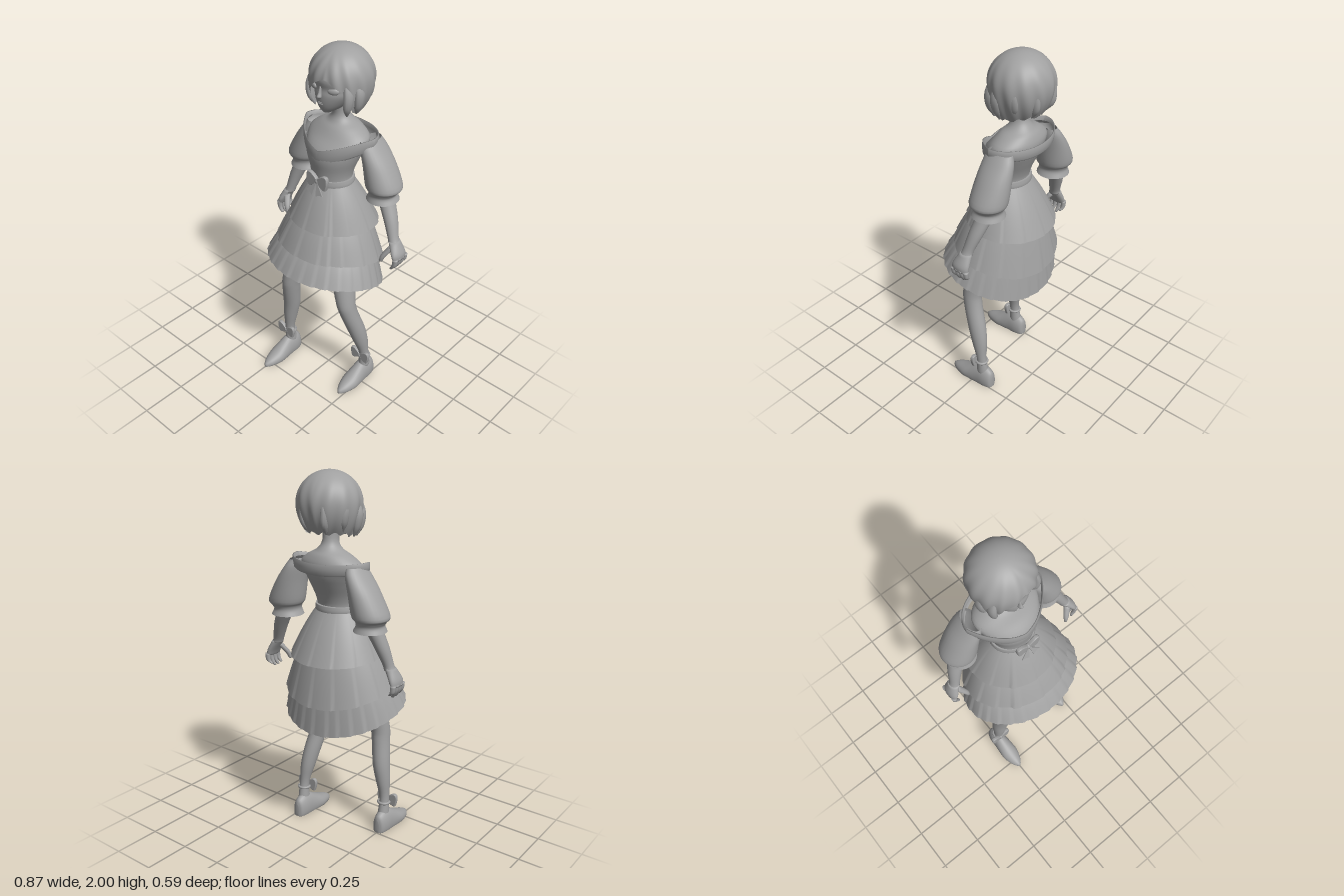
import * as THREE from 'three';

const clay = new THREE.MeshStandardMaterial({ color: 0xa0a0a0, side: THREE.DoubleSide });
clay.name = 'soft grey';
const { clamp, lerp, smoothstep } = THREE.MathUtils;
const CX = -0.02; // the body leans a little to its right

function mesh(name, geometry, parent) {
  const m = new THREE.Mesh(geometry, clay);
  m.name = name;
  parent.add(m);
  return m;
}

// Closed band of points fn(angle, v); angle 0 faces +z, v runs upward from 0 to 1
function grid(fn, cols, rows) {
  const pos = [], idx = [];
  for (let i = 0; i <= rows; i++)
    for (let j = 0; j < cols; j++) pos.push(...fn((j / cols) * Math.PI * 2, i / rows));
  for (let i = 0; i < rows; i++)
    for (let j = 0; j < cols; j++) {
      const k = (j + 1) % cols, a = i * cols, b = a + cols;
      idx.push(a + j, a + k, b + k, a + j, b + k, b + j);
    }
  const g = new THREE.BufferGeometry();
  g.setAttribute('position', new THREE.Float32BufferAttribute(pos, 3));
  g.setIndex(idx);
  g.computeVertexNormals();
  return g;
}

// Smooth solid through rings [x, y, z, rx, rz], listed from the bottom up
function loft(rings, cols = 24, capped = true) {
  const centre = new THREE.CatmullRomCurve3(rings.map(r => new THREE.Vector3(r[0], r[1], r[2])), false, 'catmullrom');
  const size = new THREE.CatmullRomCurve3(rings.map(r => new THREE.Vector3(r[3], r[4], 0)), false, 'catmullrom');
  const rows = rings.length * 4;
  return grid((a, v) => {
    const i = Math.round(v * rows), t = clamp((i - 1) / (rows - 2), 0, 1);
    const c = centre.getPoint(t), s = size.getPoint(t);
    const k = capped && (i === 0 || i === rows) ? 0 : 1;
    return [c.x + Math.sin(a) * s.x * k, c.y, c.z + Math.cos(a) * s.y * k];
  }, cols, rows);
}

// Ring given by its front and back depth
const fb = (y, rx, front, back, x = CX) => [x, y, (front + back) / 2, rx, (front - back) / 2];

// Flared skirt tier between two ovals { y, yBack, rx, front, back }
function tier(top, hem, pleats, depth, panel) {
  return grid((a, v) => {
    const w = 1 - v, t = (1 - Math.cos(a)) / 2;
    const rx = lerp(top.rx, hem.rx, w);
    const f = lerp(top.front, hem.front, w), b = lerp(top.back, hem.back, w);
    const ang = Math.min(a, Math.PI * 2 - a);
    // overlapping front panel, and knife pleats opening toward the hem
    const pleat = ((a * pleats) / (Math.PI * 2)) % 1 - 0.5;
    const k = 1 + w * depth * 2 * pleat + (ang < 0.62 ? panel * w : 0);
    const y = lerp(top.y, lerp(hem.y, hem.yBack, t ** 1.8), w) + 0.015 * Math.sin(w * Math.PI);
    return [CX + Math.sin(a) * rx * k, y, (f + b) / 2 + Math.cos(a) * ((f - b) / 2) * k];
  }, 168, 8);
}

// Bow with two wings, a knot and optional tails
function bow(name, size, tails) {
  const g = new THREE.Group();
  g.name = name;
  const wing = new THREE.Shape();
  wing.moveTo(0, 0.12);
  wing.bezierCurveTo(0.35, 0.45, 0.7, 0.75, 0.95, 0.55);
  wing.bezierCurveTo(1.1, 0.3, 0.95, -0.2, 0.85, -0.5);
  wing.bezierCurveTo(0.6, -0.6, 0.3, -0.35, 0, -0.12);
  const tail = new THREE.Shape([[0, 0], [0.85, -0.95], [0.5, -1.0], [0.2, -1.2]].map(p => new THREE.Vector2(...p)));
  const puff = { depth: 0.1, bevelSize: 0.06, bevelThickness: 0.12, bevelSegments: 3, curveSegments: 8 };
  for (const s of [1, -1]) {
    const turn = s > 0 ? 0 : Math.PI;
    mesh('bowWing', new THREE.ExtrudeGeometry(wing, puff).translate(0, 0, -0.05).rotateY(turn), g);
    if (tails) mesh('bowTail', new THREE.ExtrudeGeometry(tail, { depth: 0.08, bevelEnabled: false })
      .translate(0, 0, -0.04).rotateY(turn).rotateX(-0.3).translate(0, 0, 0.1), g);
  }
  mesh('bowKnot', new THREE.SphereGeometry(0.24, 16, 12).scale(0.9, 1.1, 1), g);
  g.scale.setScalar(size);
  return g;
}

function buildHead(root) {
  const head = new THREE.Group();
  head.name = 'head';
  root.add(head);
  mesh('face', loft([
    fb(1.675, 0.022, 0.002, -0.06, -0.03), fb(1.7, 0.058, 0.02, -0.14, -0.028), fb(1.735, 0.088, 0.03, -0.18, -0.025),
    fb(1.775, 0.112, 0.032, -0.21), fb(1.81, 0.125, 0.028, -0.24), fb(1.86, 0.135, 0.034, -0.25), fb(1.93, 0.115, 0.005, -0.22)
  ], 40), head);
  mesh('nose', loft([
    [-0.03, 1.762, 0.028, 0.007, 0.008], [-0.03, 1.771, 0.033, 0.012, 0.019],
    [-0.03, 1.79, 0.029, 0.008, 0.014], [-0.03, 1.822, 0.024, 0.006, 0.008]
  ], 16), head);
  for (const y of [1.738, 1.73])
    mesh('lip', new THREE.SphereGeometry(0.017, 12, 8).scale(1, 0.25, 0.35).translate(-0.03, y, 0.027), head);
  for (const s of [-1, 1]) {
    mesh('eye', new THREE.SphereGeometry(0.03, 16, 10).scale(1, 0.6, 0.4).rotateY(s * 0.45).translate(-0.027 + s * 0.064, 1.807, 0.009), head);
    mesh('ear', new THREE.SphereGeometry(0.03, 12, 10).scale(0.4, 1, 0.7).translate(CX + s * 0.125, 1.785, -0.09), head);
    mesh('earring', new THREE.SphereGeometry(0.011, 10, 8).translate(CX + s * 0.126, 1.735, -0.06), head);
  }
  // bobbed hair with a side parting and locks swept toward the sides
  mesh('hair', grid((a, v) => {
    const w = 1 - v;
    const turn = Math.atan2(Math.sin(a - 0.15), Math.cos(a - 0.15));
    const off = Math.abs(turn);
    const wave = Math.cos(off * 13 - w * 5) * smoothstep(w, 0.15, 0.9);
    const hem = 1.868 - 0.08 * clamp(off / 0.74, 0, 1) ** 1.4 - 0.105 * smoothstep(off, 0.7, 1.0)
      + 0.02 * smoothstep(off, 1.4, 2.4) + 0.008 * Math.cos(off * 13) * smoothstep(off, 0.6, 1.2);
    const y = 2 - (2 - hem) * (1 - Math.cos(w * Math.PI / 2));
    const h = (y - 1.84) / 0.16;
    const round = h > 0 ? Math.sqrt(Math.max(0, 1 - h * h)) : 1 - lerp(0.24, 0.38, smoothstep(off, 1, 2.5)) * h * h;
    const r = round * (1 + 0.022 * wave);
    return [CX + 0.166 * r * Math.sin(a), y, -0.118 + 0.165 * r * Math.cos(a)];
  }, 144, 28), head);
  // loose locks framing the cheeks and layered over the back
  for (const [x, z, y0] of [[-0.125, -0.025, 1.675], [0.125, -0.025, 1.675], [-0.148, -0.08, 1.68], [0.148, -0.08, 1.68],
    [-0.135, -0.17, 1.71], [0.135, -0.17, 1.71], [-0.07, -0.24, 1.7], [0.06, -0.24, 1.7]])
    mesh('hairLock', loft([
      [CX + x * 0.84, y0, lerp(z, -0.1, 0.15), 0.004, 0.004], [CX + x * 0.95, y0 + 0.05, z, 0.018, 0.026],
      [CX + x, y0 + 0.12, z, 0.02, 0.03], [CX + x * 0.85, y0 + 0.2, z, 0.01, 0.012]
    ], 12), head);
}

function buildArm(root, s, side) {
  const arm = new THREE.Group();
  arm.name = side + 'Arm';
  root.add(arm);
  // mirrored about the body's offset at the shoulder and about x = 0 at the hand
  const fit = rings => rings.map(([x, y, ...r]) => [s * x - 0.018 * clamp((y - 1) / 0.25, 0, 1), y, ...r]);
  mesh('sleeve', loft(fit([
    [0.27, 1.232, -0.135, 0.086, 0.088], [0.27, 1.262, -0.135, 0.072, 0.078], [0.274, 1.285, -0.136, 0.08, 0.084],
    [0.272, 1.315, -0.138, 0.097, 0.099], [0.235, 1.42, -0.14, 0.077, 0.095], [0.198, 1.5, -0.138, 0.055, 0.086],
    [0.178, 1.545, -0.135, 0.04, 0.07]
  ]), 28, false), arm);
  mesh('forearm', loft(fit([
    [0.378, 1.035, -0.09, 0.03, 0.033], [0.366, 1.065, -0.095, 0.029, 0.031], [0.335, 1.15, -0.115, 0.038, 0.04],
    [0.29, 1.25, -0.135, 0.046, 0.046], [0.262, 1.33, -0.138, 0.05, 0.05]
  ])), arm);
  mesh('palm', loft(fit([
    [0.419, 0.955, -0.082, 0.018, 0.05], [0.408, 0.99, -0.082, 0.026, 0.05], [0.378, 1.045, -0.09, 0.029, 0.033]
  ])), arm);
  [-0.124, -0.097, -0.07, -0.043].forEach((z, i) => {
    const tip = [0.91, 0.893, 0.893, 0.9][i];
    mesh('finger', loft(fit([
      [0.4, tip, z * 0.95, 0.008, 0.008], [0.418, 0.928, z, 0.013, 0.013], [0.423, 0.965, z, 0.015, 0.014]
    ]), 10), arm);
  });
  mesh('thumb', loft(fit([
    [0.342, 0.93, -0.025, 0.009, 0.009], [0.352, 0.965, -0.035, 0.015, 0.015], [0.385, 1.02, -0.07, 0.02, 0.02]
  ]), 10), arm);
}

function buildLeg(root, side, rings, footX, heelZ, ankleZ) {
  const leg = new THREE.Group();
  leg.name = side + 'Leg';
  root.add(leg);
  mesh('leg', loft(rings), leg);
  // pointed shoe [distance from heel, half width, height], flattened at the sole
  const shoe = [[0, 0.012, 0.07], [0.012, 0.032, 0.1], [0.05, 0.043, 0.12], [0.1, 0.045, 0.115], [0.15, 0.049, 0.09],
    [0.2, 0.05, 0.065], [0.255, 0.034, 0.042], [0.285, 0.016, 0.025], [0.295, 0.005, 0.015]];
  const g = loft(shoe.map(([d, w, h]) => [footX, heelZ + d, -h * 0.3, w, h * 0.7]), 32).rotateX(Math.PI / 2);
  const p = g.attributes.position;
  for (let i = 0; i < p.count; i++) p.setY(i, Math.max(p.getY(i), 0));
  g.computeVertexNormals();
  mesh('shoe', g, leg);
  const x = rings[1][0];
  mesh('ankleStrap', new THREE.TorusGeometry(0.031, 0.008, 8, 28).rotateX(Math.PI / 2).translate(x, 0.165, ankleZ - 0.003), leg);
  const b = bow('ankleBow', 0.06, false);
  b.position.set(x - 0.006, 0.175, ankleZ + 0.024);
  leg.add(b);
}

export function createModel() {
  const root = new THREE.Group();
  root.name = 'girlInDress';
  buildHead(root);

  mesh('torso', loft([
    fb(0.92, 0.15, 0.08, -0.16), fb(1.05, 0.165, 0.075, -0.19), fb(1.2, 0.13, 0.055, -0.16), fb(1.3, 0.114, 0.055, -0.148),
    fb(1.36, 0.122, 0.06, -0.16), fb(1.43, 0.148, 0.07, -0.19), fb(1.48, 0.165, 0.06, -0.21), fb(1.535, 0.178, 0.01, -0.22),
    fb(1.58, 0.125, -0.025, -0.205), fb(1.61, 0.068, -0.052, -0.18), fb(1.65, 0.042, -0.065, -0.156), fb(1.72, 0.042, -0.05, -0.15)
  ], 40), root);

  // flat off-shoulder collar, wide and dipping to a V at the front
  const fold = [[0.94, -0.06], [0.99, -0.05], [1.01, -0.025], [1.0, 0], [0.97, -0.001], [0.95, -0.02]];
  mesh('collar', grid((a, v) => {
    const [k, dy] = fold[Math.round(v * 5)];
    const c = Math.cos(a), front = Math.max(c, 0);
    const dip = c > 0 ? 0.08 * (1 - Math.abs(Math.sin(a))) : 0.012 * c * c;
    const z = c > 0 ? 0.17 * c ** 1.7 : 0.153 * c;
    return [CX + 0.228 * k * Math.sin(a), 1.567 - dip + dy * (1 + 0.4 * front), -0.1 + z * k];
  }, 72, 5), root);

  // waistband and bow
  mesh('waistband', loft([fb(1.275, 0.124, 0.062, -0.158), fb(1.295, 0.126, 0.063, -0.16), fb(1.318, 0.122, 0.06, -0.157)], 40), root);
  const b = bow('waistBow', 0.066, true);
  b.position.set(-0.013, 1.317, 0.072);
  root.add(b);

  // three skirt tiers, longer at the back
  mesh('upperSkirt', tier({ y: 1.295, rx: 0.12, front: 0.055, back: -0.152 },
    { y: 1.06, yBack: 1.03, rx: 0.252, front: 0.165, back: -0.292 }, 12, 0.01, 0.035), root);
  mesh('middleSkirt', tier({ y: 1.12, rx: 0.2, front: 0.125, back: -0.22 },
    { y: 0.918, yBack: 0.8, rx: 0.312, front: 0.228, back: -0.29 }, 14, 0.012, 0.035), root);
  mesh('lowerSkirt', tier({ y: 0.97, rx: 0.25, front: 0.17, back: -0.225 },
    { y: 0.81, yBack: 0.64, rx: 0.35, front: 0.295, back: -0.268 }, 28, 0.012, 0), root);

  buildArm(root, 1, 'left');
  buildArm(root, -1, 'right');

  buildLeg(root, 'right', [
    [-0.247, 0.07, 0.07, 0.032, 0.04], [-0.245, 0.19, 0.082, 0.027, 0.03], [-0.235, 0.3, 0.08, 0.039, 0.044],
    [-0.222, 0.4, 0.08, 0.047, 0.052], [-0.206, 0.53, 0.096, 0.049, 0.056], [-0.195, 0.62, 0.095, 0.053, 0.06],
    [-0.158, 0.81, 0.045, 0.068, 0.077], [-0.12, 0.97, 0, 0.085, 0.09]
  ], -0.25, 0.005, 0.082);
  buildLeg(root, 'left', [
    [0.228, 0.07, -0.06, 0.032, 0.04], [0.23, 0.19, -0.05, 0.027, 0.03], [0.219, 0.3, -0.028, 0.04, 0.047],
    [0.206, 0.4, 0, 0.047, 0.054], [0.186, 0.53, 0.042, 0.048, 0.055], [0.168, 0.62, 0.05, 0.053, 0.06],
    [0.12, 0.81, 0.015, 0.07, 0.082], [0.08, 0.97, -0.01, 0.085, 0.09]
  ], 0.224, -0.13, -0.05);
  return root;
}
